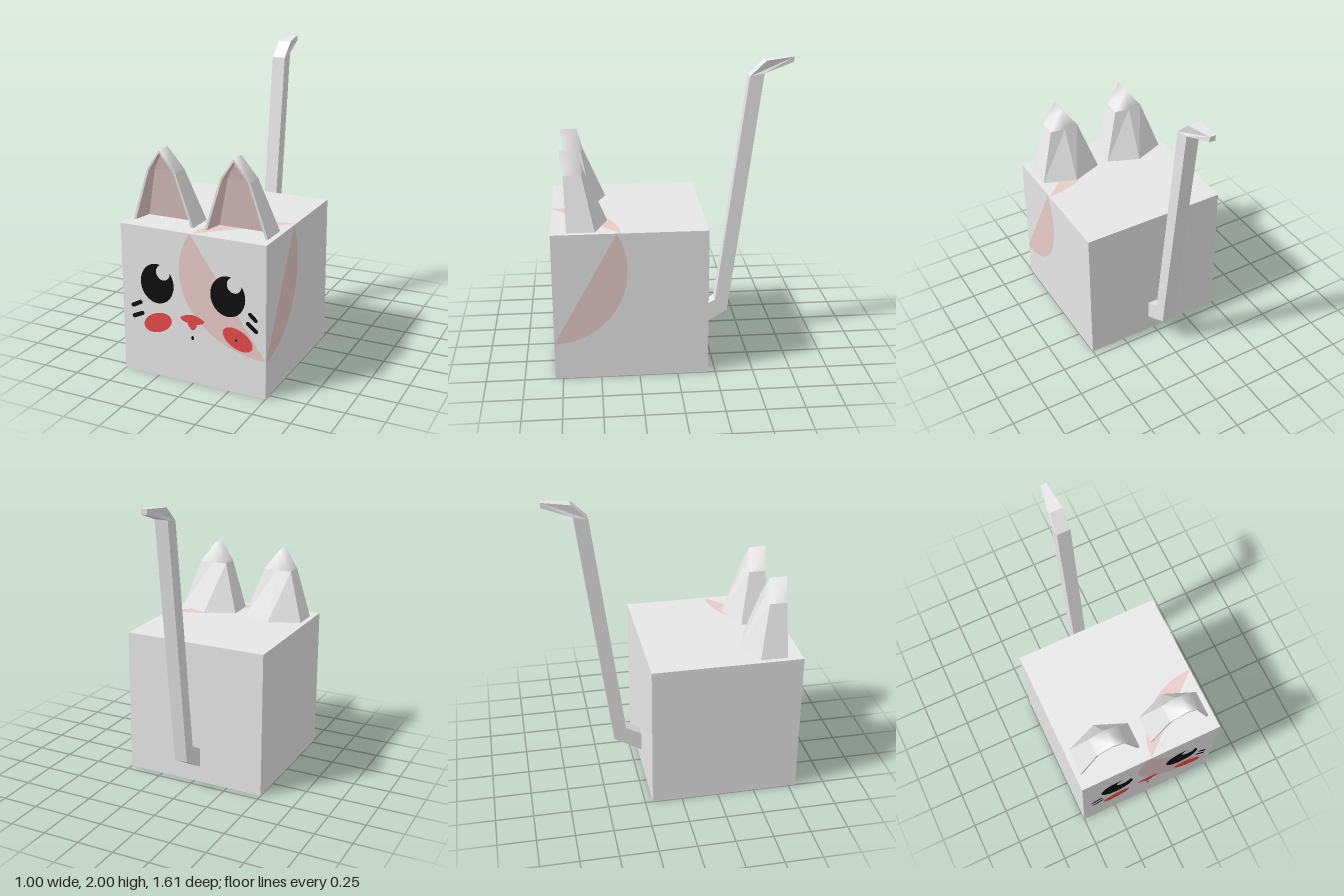
import * as THREE from 'three';
import { mergeVertices } from 'three/addons/utils/BufferGeometryUtils.js';

const rad = THREE.MathUtils.degToRad;
const FRONT = 0.8;

function material(name, color) {
  const m = new THREE.MeshStandardMaterial({ color });
  m.name = name;
  return m;
}

// Surface stretched between rows of [x, y, z] points, bottom row first
function surface(rows, smooth = false) {
  const pos = [], index = [], n = rows[0].length;
  rows.forEach(row => row.forEach(p => pos.push(...p)));
  for (let r = 0; r < rows.length - 1; r++) {
    for (let i = 0; i < n - 1; i++) {
      const a = r * n + i, b = a + 1, c = b + n, d = a + n;
      index.push(a, b, c, a, c, d);
    }
  }
  let g = new THREE.BufferGeometry();
  g.setAttribute('position', new THREE.Float32BufferAttribute(pos, 3));
  g.setIndex(index);
  g = smooth ? mergeVertices(g) : g.toNonIndexed();
  g.computeVertexNormals();
  return g;
}

export function createModel() {
  const model = new THREE.Group();
  model.name = 'boxCat';
  const fur = material('fur grey', 0xe8e8e8);
  const pink = material('patch pink', 0xe8ccca);
  const red = material('blush red', 0xe84a4a);
  const black = material('ink black', 0x0e0e0e);
  fur.side = pink.side = THREE.DoubleSide;

  function add(name, geometry, mat, parent = model) {
    const mesh = new THREE.Mesh(geometry, mat);
    mesh.name = name;
    parent.add(mesh);
    return mesh;
  }

  // Body
  add('body', new THREE.BoxGeometry(1, 1, 1).translate(0, 0.5, 0.3), fur);

  // Patch wrapped over the front, side and top at one corner
  function patch(x, y, cx, cy, rx, ry, from, to, clockwise) {
    const s = new THREE.Shape();
    s.moveTo(x, y);
    s.absellipse(cx, cy, rx, ry, rad(from), rad(to), clockwise);
    return new THREE.ShapeGeometry(s, 40);
  }
  add('frontPatch', patch(0.5, 1, 0.5, 0.75, 0.59, 0.5, 150, 270, false).translate(0, 0, FRONT + 0.002), pink);
  add('sidePatch', patch(-0.8, 1, -0.8, 0.75, 0.48, 0.5, 30, -90, true).rotateY(Math.PI / 2).translate(0.502, 0, 0), pink);
  add('topPatch', patch(0.5, -0.8, 0.5, -0.8, 0.5, 0.44, 180, 90, true).rotateX(-Math.PI / 2).translate(0, 1.002, 0), pink);

  // Ears: faceted shell, rounded tip, pink hollow and thin rim
  const ring = (y, pts) => pts.map(([x, z]) => [x, y, z]);
  const outer = [
    ring(1, [[0.213, 0.7], [0.213, 0.52], [0, 0.435], [-0.213, 0.52], [-0.213, 0.7]]),
    ring(1.34, [[0.1, 0.71], [0.1, 0.595], [0, 0.58], [-0.1, 0.595], [-0.1, 0.71]]),
    ring(1.48, [[0, 0.73], [0, 0.62], [0, 0.62], [0, 0.62], [0, 0.73]]),
  ];
  const inner = [
    ring(1.002, [[-0.195, 0.7], [-0.17, 0.58], [0.17, 0.58], [0.195, 0.7]]),
    ring(1.335, [[-0.087, 0.71], [-0.075, 0.655], [0.075, 0.655], [0.087, 0.71]]),
    ring(1.46, [[0, 0.73], [0, 0.69], [0, 0.69], [0, 0.73]]),
  ];
  for (const side of [-1, 1]) {
    const ear = new THREE.Group();
    ear.name = side > 0 ? 'leftEar' : 'rightEar';
    ear.position.x = side * 0.252;
    model.add(ear);
    add('earShell', surface(outer.slice(0, 2)), fur, ear);
    add('earTip', surface(outer.slice(1), true), fur, ear);
    add('earHollow', surface(inner), pink, ear);
    add('earRimRight', surface(outer.map((o, i) => [o[4], inner[i][0]])), fur, ear);
    add('earRimLeft', surface(outer.map((o, i) => [inner[i][3], o[0]])), fur, ear);
  }

  // Tail: bent side profile as [distance behind centre, height], narrowed at its end
  const profile = [[0.19, 0.11], [0.39, 0.23], [0.605, 1.9], [0.8, 1.965], [0.8, 2],
    [0.615, 1.98], [0.51, 1.88], [0.305, 0.31], [0.19, 0.245]];
  const tailShape = new THREE.Shape(profile.map(([x, y]) => new THREE.Vector2(x, y)));
  const tail = new THREE.ExtrudeGeometry(tailShape, { depth: 0.09, bevelEnabled: false });
  tail.translate(0, 0, -0.045).rotateY(Math.PI / 2);
  const tp = tail.attributes.position;
  for (let i = 0; i < tp.count; i++) {
    const t = Math.max(0, (-tp.getZ(i) - 0.615) / 0.185);
    tp.setX(i, tp.getX(i) * (1 - 0.56 * t));
  }
  tail.computeVertexNormals();
  add('tail', tail, fur);

  // Painted face details
  function spot(name, x, y, rx, ry, mat, tilt = 0, lift = 0.004) {
    const mesh = add(name, new THREE.CircleGeometry(1, 40), mat);
    mesh.scale.set(rx, ry, 1);
    mesh.rotation.z = rad(tilt);
    mesh.position.set(x, y, FRONT + lift);
  }
  for (const side of [-1, 1]) {
    const label = side > 0 ? 'left' : 'right';
    spot(label + 'Eye', side * 0.246, 0.635, 0.118, 0.132, black);
    spot(label + 'EyeShine', side * 0.246 + 0.045, 0.717, 0.049, 0.052, fur, 0, 0.006);
  }
  spot('rightCheek', -0.247, 0.37, 0.106, 0.063, red, 24);
  spot('leftCheek', 0.312, 0.363, 0.108, 0.064, red, -26);
  spot('cheekDot', 0.303, 0.357, 0.007, 0.007, black, 0, 0.006);
  spot('mouth', 0, 0.312, 0.01, 0.014, black);

  // Nose
  const nose = new THREE.Shape();
  nose.moveTo(-0.085, 0.44);
  nose.quadraticCurveTo(0, 0.495, 0.085, 0.44);
  nose.quadraticCurveTo(0.08, 0.415, 0.034, 0.41);
  nose.quadraticCurveTo(0.025, 0.375, 0, 0.365);
  nose.quadraticCurveTo(-0.025, 0.375, -0.034, 0.41);
  nose.quadraticCurveTo(-0.08, 0.415, -0.085, 0.44);
  add('nose', new THREE.ShapeGeometry(nose).translate(0, 0, FRONT + 0.004), red);

  // Whiskers: short round-ended strokes
  const whiskers = [[-0.425, 0.46, -0.37, 0.49], [-0.42, 0.387, -0.36, 0.415],
    [0.397, 0.545, 0.432, 0.513], [0.382, 0.483, 0.436, 0.441]];
  for (const [x1, y1, x2, y2] of whiskers) {
    const half = Math.hypot(x2 - x1, y2 - y1) / 2, r = 0.014;
    const s = new THREE.Shape();
    s.absarc(half, 0, r, -Math.PI / 2, Math.PI / 2, false);
    s.absarc(-half, 0, r, Math.PI / 2, Math.PI * 1.5, false);
    const w = add('whisker', new THREE.ShapeGeometry(s), black);
    w.position.set((x1 + x2) / 2, (y1 + y2) / 2, FRONT + 0.004);
    w.rotation.z = Math.atan2(y2 - y1, x2 - x1);
  }

  return model;
}
